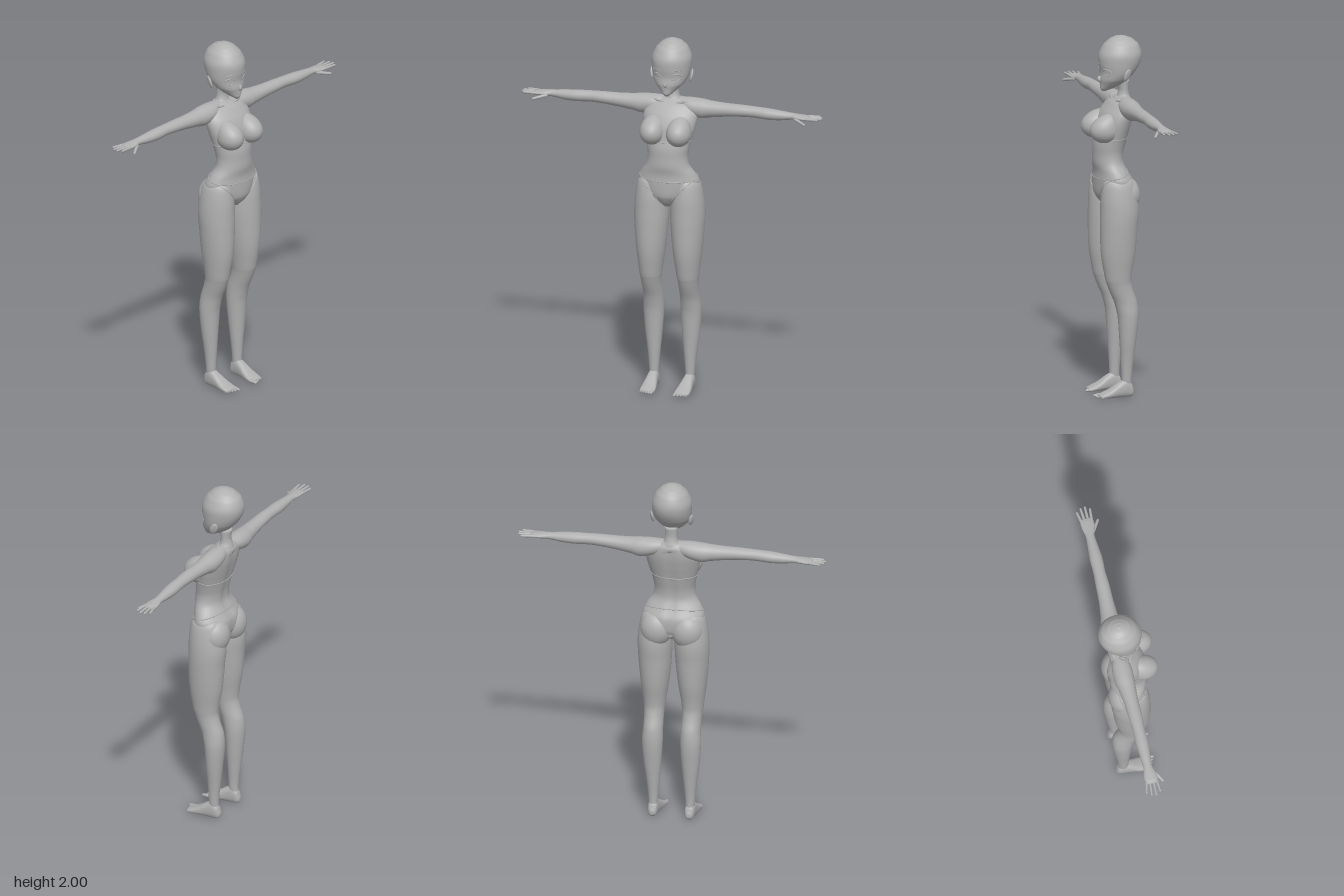
import * as THREE from 'three';

const skin = new THREE.MeshStandardMaterial({ color: 0xb0b0b0 });
skin.name = 'plain grey';

// Row: [t, a0, a1, b0, b1] = position along an axis and the extents of an oval section
function section(rows, t) {
  let i = 0;
  while (i < rows.length - 2 && t > rows[i + 1][0]) i++;
  const at = k => rows[Math.min(Math.max(k, 0), rows.length - 1)];
  const f = THREE.MathUtils.clamp((t - at(i)[0]) / (at(i + 1)[0] - at(i)[0]), 0, 1);
  return [1, 2, 3, 4].map(c => {
    const p = at(i - 1)[c], q = at(i)[c], r = at(i + 1)[c], s = at(i + 2)[c];
    return q + 0.5 * f * (r - p + f * (2 * p - 5 * q + 4 * r - s + f * (3 * (q - r) + s - p)));
  });
}
function ovalPoint([a0, a1, b0, b1], angle, e = 1) {
  const c = Math.cos(angle), s = Math.sin(angle);
  return [(a0 + a1) / 2 + (a1 - a0) / 2 * Math.sign(c) * Math.abs(c) ** e,
    (b0 + b1) / 2 + (b1 - b0) / 2 * Math.sign(s) * Math.abs(s) ** e];
}
const upright = (t, a, b) => [a, t, b];   // a = x, b = z
const sideways = (t, a, b) => [t, b, a];  // a = z, b = y
const forward = (t, a, b) => [b, a, t];   // a = y, b = x

// Smooth skin through the sections, closed at both ends
function loft(rows, place, e = 1, steps = 5, sides = 36) {
  const pos = [], idx = [], n = (rows.length - 1) * steps;
  for (let k = 0; k <= n; k++) {
    const i = Math.min(Math.floor(k / steps), rows.length - 2), f = k / steps - i;
    const t = rows[i][0] + (rows[i + 1][0] - rows[i][0]) * f, s = section(rows, t);
    for (let j = 0; j < sides; j++) pos.push(...place(t, ...ovalPoint(s, j / sides * Math.PI * 2, e)));
  }
  for (let k = 0; k < n; k++) for (let j = 0; j < sides; j++) {
    const a = k * sides + j, b = k * sides + (j + 1) % sides;
    idx.push(a, a + sides, b, b, a + sides, b + sides);
  }
  const ends = [rows[0], rows[rows.length - 1]];
  ends.forEach((r, k) => {
    const c = pos.length / 3, base = k ? n * sides : 0;
    pos.push(...place(r[0], (r[1] + r[2]) / 2, (r[3] + r[4]) / 2));
    for (let j = 0; j < sides; j++) {
      const a = base + j, b = base + (j + 1) % sides;
      idx.push(c, k ? b : a, k ? a : b);
    }
  });
  const g = new THREE.BufferGeometry();
  g.setAttribute('position', new THREE.Float32BufferAttribute(pos, 3));
  g.setIndex(idx);
  g.computeVertexNormals();
  return g;
}
function bend(g, rule) {
  const p = g.attributes.position, v = new THREE.Vector3();
  for (let i = 0; i < p.count; i++) { rule(v.fromBufferAttribute(p, i)); p.setXYZ(i, v.x, v.y, v.z); }
  g.computeVertexNormals();
  return g;
}
function mirrored(g) {
  const m = g.clone().scale(-1, 1, 1), a = m.index.array;
  for (let i = 0; i < a.length; i += 3) [a[i], a[i + 1]] = [a[i + 1], a[i]];
  return m;
}
const ellipsoid = (rx, ry, rz) => new THREE.SphereGeometry(1, 32, 24).scale(rx, ry, rz);
function digit(from, to, r) {
  const a = new THREE.Vector3(...from), b = new THREE.Vector3(...to), d = b.clone().sub(a);
  const g = new THREE.CapsuleGeometry(r, d.length(), 6, 12);
  bend(g, v => { const k = v.y > 0 ? 0.75 : 1; v.x *= k; v.z *= k; });
  g.applyQuaternion(new THREE.Quaternion().setFromUnitVectors(new THREE.Vector3(0, 1, 0), d.normalize()));
  return g.translate(...a.add(b).multiplyScalar(0.5).toArray());
}
const cord = (pts, r, closed = false) => new THREE.TubeGeometry(
  new THREE.CatmullRomCurve3(pts.map(p => new THREE.Vector3(...p)), closed), closed ? 96 : 20, r, 6, closed);
// Front of an upright loft at a given x and y
function frontZ(rows, x, y) {
  const [x0, x1, z0, z1] = section(rows, y), u = (x - (x0 + x1) / 2) / ((x1 - x0) / 2);
  return (z0 + z1) / 2 + (z1 - z0) / 2 * Math.sqrt(Math.max(0, 1 - u * u));
}
const symmetric = rows => rows.map(([y, h, zb, zf]) => [y, -h, h, zb, zf]);

const torsoRows = symmetric([
  [1.065, .03, -.04, .06], [1.09, .07, -.08, .085], [1.13, .135, -.1, .105], [1.2, .172, -.1, .107],
  [1.25, .155, -.072, .105], [1.3, .122, -.05, .113], [1.35, .113, -.05, .112], [1.4, .12, -.06, .11],
  [1.45, .132, -.072, .1], [1.52, .148, -.09, .09], [1.58, .152, -.102, .062], [1.63, .13, -.103, .02],
  [1.66, .07, -.09, -.02]]);
const neckRows = symmetric([
  [1.61, .075, -.1, .01], [1.645, .055, -.098, -.012], [1.67, .038, -.09, -.025],
  [1.7, .034, -.085, -.03], [1.75, .036, -.09, -.02]]);
const headRows = symmetric([
  [1.694, .01, .045, .064], [1.708, .028, 0, .073], [1.73, .052, -.045, .074], [1.76, .081, -.085, .077],
  [1.8, .1, -.122, .073], [1.85, .108, -.15, .08], [1.9, .108, -.158, .078], [1.95, .086, -.141, .053],
  [1.98, .056, -.108, .02], [1.994, .03, -.073, -.01], [2, .004, -.045, -.037]]);
const legRows = [
  [.04, .08, .126, -.072, -.015], [.1, .077, .13, -.07, -.014], [.2, .069, .139, -.08, -.009],
  [.32, .058, .155, -.094, -.002], [.45, .05, .164, -.106, .008], [.53, .051, .16, -.1, .028],
  [.6, .052, .161, -.076, .058], [.66, .046, .167, -.066, .08], [.8, .026, .184, -.088, .103],
  [.95, .012, .196, -.1, .107], [1.04, .009, .198, -.108, .106], [1.12, .015, .191, -.1, .103],
  [1.2, .035, .174, -.08, .09], [1.25, .07, .135, -.04, .06]];
const armRows = [
  [.03, -.09, -.02, 1.6, 1.664], [.1, -.105, .003, 1.572, 1.667], [.17, -.105, .004, 1.556, 1.665],
  [.22, -.095, 0, 1.566, 1.659], [.3, -.085, -.004, 1.578, 1.655], [.4, -.08, -.005, 1.588, 1.654],
  [.47, -.076, -.009, 1.59, 1.652], [.55, -.077, -.006, 1.586, 1.649], [.62, -.072, -.012, 1.589, 1.643],
  [.69, -.068, -.018, 1.599, 1.636], [.73, -.076, -.006, 1.601, 1.632], [.77, -.079, -.004, 1.604, 1.628],
  [.79, -.073, -.01, 1.608, 1.624]];
const footRows = [
  [-.083, .015, .04, .09, .115], [-.07, .003, .075, .079, .127], [-.04, 0, .1, .075, .132],
  [0, 0, .083, .07, .135], [.05, 0, .05, .06, .141], [.09, 0, .03, .056, .142], [.115, .002, .02, .062, .136]];

export function createModel() {
  const model = new THREE.Group();
  model.name = 'mannequin';
  const add = (name, g) => {
    const m = new THREE.Mesh(g, skin);
    m.name = name;
    model.add(m);
  };
  const pair = (name, g) => { add('left' + name, g); add('right' + name, mirrored(g)); };

  // Trunk with a shallow spine groove
  add('torso', bend(loft(torsoRows, upright), v => {
    if (v.z < -.03 && v.y > 1.1 && v.y < 1.62) v.z += .01 * Math.exp(-((v.x / .02) ** 2));
  }));
  add('neck', loft(neckRows, upright));
  pair('Chest', bend(ellipsoid(.068, .07, .083), v => {
    if (v.y > 0) { v.y *= 1.3; v.z -= 4 * v.y * v.y; }
  }).translate(.076, 1.49, .075));
  pair('Buttock', ellipsoid(.088, .1, .078).translate(.086, 1.125, -.043));
  pair('Collarbone', cord([[.015, 1.635, -.004], [.06, 1.645, -.008], [.12, 1.652, -.022]], .006));

  // Garment seams
  const ring = yAt => Array.from({ length: 48 }, (_, i) => {
    const a = i / 48 * Math.PI * 2, y = yAt(a), [x, z] = ovalPoint(section(torsoRows, y), a);
    return [x, y, z];
  });
  add('waistSeam', cord(ring(a => 1.235 - .02 * Math.sin(a)), .0025, true));
  add('chestSeam', cord(ring(() => 1.44), .0025, true));
  pair('LegSeam', cord([.025, .045, .07, .1, .13, .155].map((x, i) => {
    const y = 1.085 + i * .03;
    return [x, y, Math.max(frontZ(torsoRows, x, y), frontZ(legRows, x, y))];
  }), .0025));

  // Head and face
  add('head', loft(headRows, upright));
  add('nose', bend(ellipsoid(.008, .016, .013), v => { v.x *= 1 - v.y * 25; }).translate(0, 1.764, .078));
  const onFace = (x, y, out = 0) => [x, y, frontZ(headRows, x, y) + out];
  add('mouth', cord([-.018, -.009, 0, .009, .018].map(x => onFace(x, 1.732 + x * x * 8)), .0022));
  pair('UpperEyelid', cord([[.03, 1.808], [.04, 1.82], [.056, 1.824], [.07, 1.82], [.081, 1.81]]
    .map(p => onFace(...p)), .0035));
  pair('LowerEyelid', cord([[.038, 1.794], [.05, 1.789], [.064, 1.79], [.076, 1.797]].map(p => onFace(...p)), .0018));
  pair('Eyebrow', cord([[.028, 1.838], [.052, 1.846], [.08, 1.838]].map(p => onFace(...p)), .0018));
  pair('Ear', bend(ellipsoid(.009, .034, .023), v => { v.z -= v.y * .25; })
    .rotateY(.4).rotateZ(-.25).translate(.11, 1.796, -.045));

  // Arms and hands
  pair('Arm', loft(armRows, sideways));
  [[.832, -.082], [.85, -.058], [.854, -.033], [.838, -.008]].forEach(([x, z], i) =>
    pair('Finger' + (i + 1), digit([.772, 1.616, -.07 + i * .0187], [x, 1.617, z], .0085)));
  pair('Thumb', digit([.715, 1.609, -.018], [.775, 1.594, .02], .01));

  // Legs and feet
  pair('Leg', loft(legRows, upright));
  pair('Foot', loft(footRows, forward, .8));
  for (let i = 0; i < 5; i++) {
    const r = i ? .0085 - i * .0005 : .011;
    pair('Toe' + (i + 1), digit([.067 + i * .0165, r + .002, .095 - i * .003], [.067 + i * .0165, r, .127 - i * .006], r));
  }
  return model;
}
